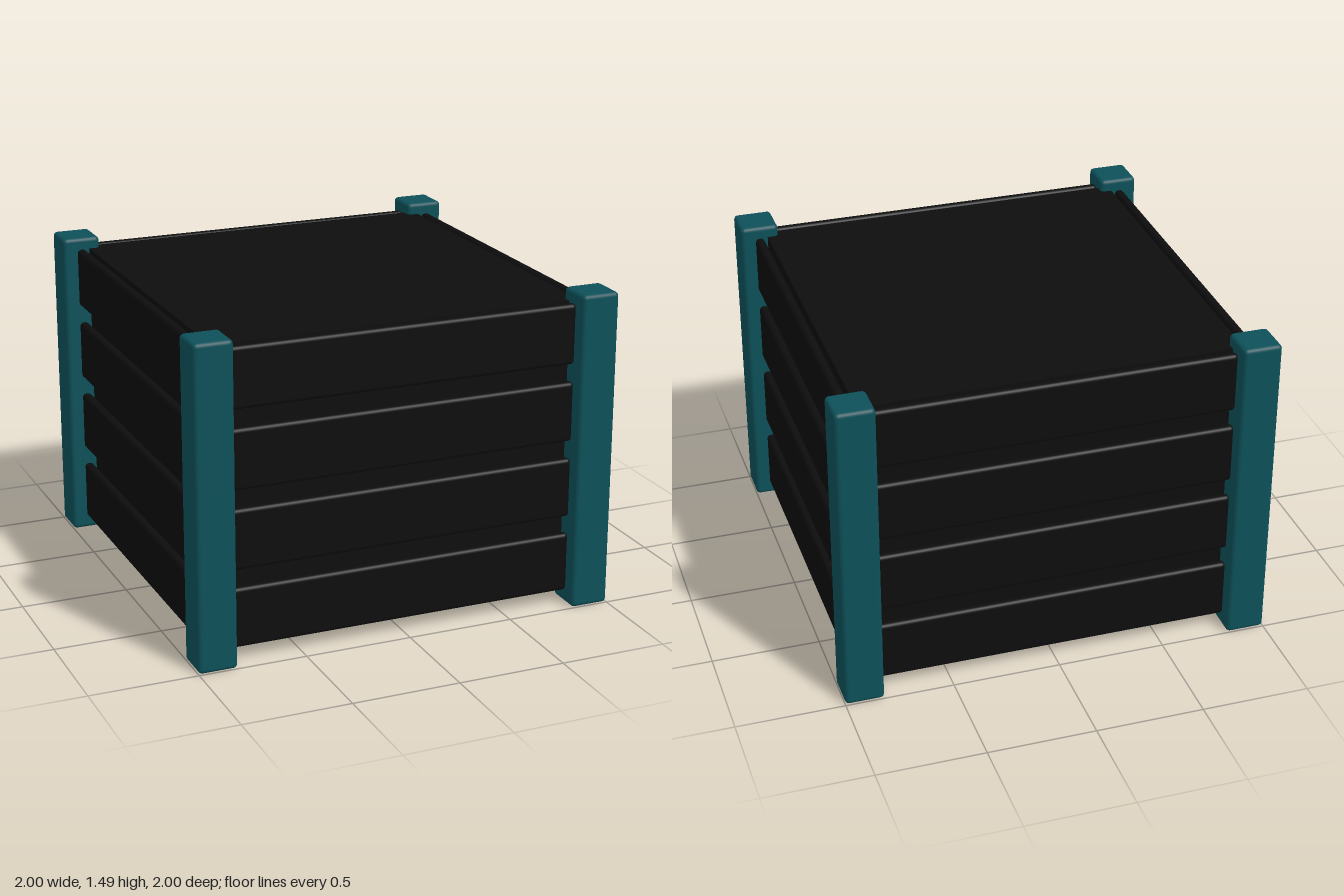
import * as THREE from 'three';
import { RoundedBoxGeometry } from 'three/addons/geometries/RoundedBoxGeometry.js';

export function createModel() {
  const teal = new THREE.MeshStandardMaterial({ color: 0x0d5059 });
  teal.name = 'teal';
  const black = new THREE.MeshStandardMaterial({ color: 0x0d0d0d });
  black.name = 'black';

  const model = new THREE.Group();
  model.name = 'planterBox';

  const add = (parent, name, geometry, material, x, y, z) => {
    const mesh = new THREE.Mesh(geometry, material);
    mesh.name = name;
    mesh.position.set(x, y, z);
    parent.add(mesh);
  };

  // Inner body, set just behind the planks
  add(model, 'innerBody', new THREE.BoxGeometry(1.746, 1.37, 1.746), black, 0, 0.75, 0);

  // Corner posts
  const postGeometry = new RoundedBoxGeometry(0.18, 1.49, 0.18, 3, 0.02);
  for (const x of [-0.91, 0.91]) {
    for (const z of [-0.91, 0.91]) add(model, 'cornerPost', postGeometry, teal, x, 0.745, z);
  }

  // Four spaced planks on each side
  const plankGeometry = new RoundedBoxGeometry(1.65, 0.28, 0.043, 3, 0.018);
  ['front', 'left', 'back', 'right'].forEach((side, i) => {
    const wall = new THREE.Group();
    wall.name = side + 'Planks';
    for (let row = 0; row < 4; row++) {
      add(wall, 'plank', plankGeometry, black, 0, 0.204 + row * 0.364, 0.912);
    }
    wall.rotation.y = i * Math.PI / 2;
    model.add(wall);
  });

  return model;
}
